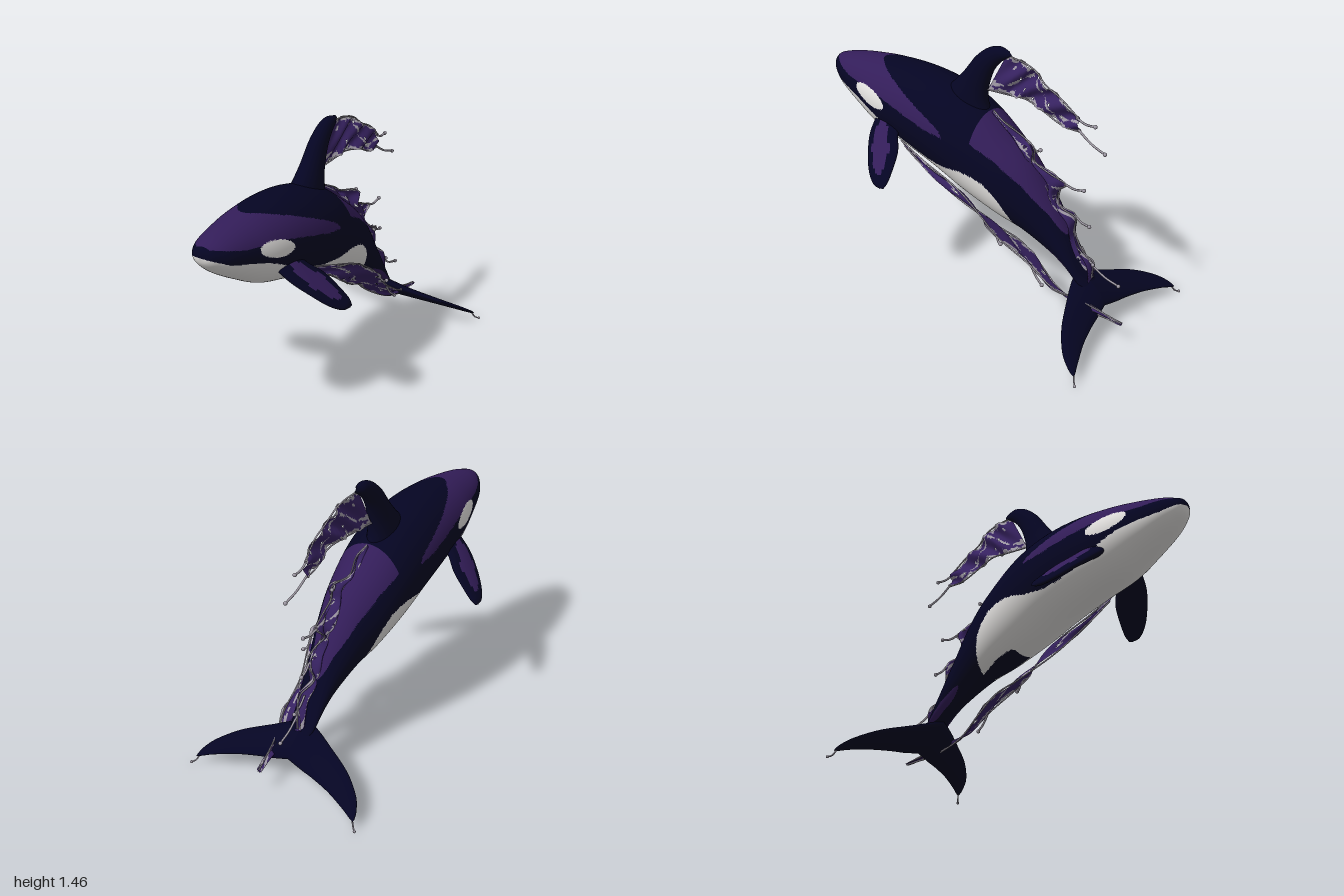
import * as THREE from 'three';

const V = (x, y, z) => new THREE.Vector3(x, y, z);
const mat = (name, color, side = THREE.FrontSide) => {
  const m = new THREE.MeshStandardMaterial({ color, side });
  m.name = name;
  return m;
};

// Piecewise-linear lookup in [[key, value], ...] with falling keys
function lookup(table, k) {
  if (k >= table[0][0]) return table[0][1];
  for (let i = 1; i < table.length; i++) {
    const [k0, v0] = table[i - 1], [k1, v1] = table[i];
    if (k >= k1) return v1 + (v0 - v1) * (k - k1) / (k0 - k1);
  }
  return table[table.length - 1][1];
}

// Grid surface; paint(p, u, v) picks the material index, or -1 for a hole
function gridMesh(name, nu, nv, closed, point, paint, materials) {
  const pos = [], cols = closed ? nv : nv + 1, buckets = materials.map(() => []);
  const centre = V(0, 0, 0), pts = [];
  for (let i = 0; i <= nu; i++) for (let j = 0; j < cols; j++) {
    const p = point(i / nu, j / nv);
    pts.push(p);
    centre.add(p);
    pos.push(p.x, p.y, p.z);
  }
  centre.divideScalar(pts.length);
  let volume = 0;
  const mid = V(0, 0, 0), a = V(0, 0, 0), b = V(0, 0, 0), c = V(0, 0, 0);
  for (let i = 0; i < nu; i++) for (let j = 0; j < nv; j++) {
    const j1 = closed ? (j + 1) % nv : j + 1;
    const q = [i * cols + j, (i + 1) * cols + j, (i + 1) * cols + j1, i * cols + j1];
    for (const t of [[q[0], q[1], q[2]], [q[0], q[2], q[3]]]) {
      a.copy(pts[t[0]]); b.copy(pts[t[1]]); c.copy(pts[t[2]]);
      mid.copy(a).add(b).add(c).divideScalar(3);
      volume += a.sub(centre).dot(b.sub(centre).cross(c.sub(centre)));
      const k = paint(mid, (i + 0.5) / nu, (j + 0.5) / nv);
      if (k >= 0) buckets[k].push(t);
    }
  }
  const g = new THREE.BufferGeometry(), index = [];
  buckets.forEach((list, k) => {
    g.addGroup(index.length, list.length * 3, k);
    for (const t of list) volume < 0 ? index.push(t[0], t[2], t[1]) : index.push(...t);
  });
  g.setAttribute('position', new THREE.Float32BufferAttribute(pos, 3));
  g.setIndex(index);
  g.computeVertexNormals();
  const mesh = new THREE.Mesh(g, materials);
  mesh.name = name;
  return mesh;
}

const curve = pts => new THREE.CatmullRomCurve3(pts.map(p => V(...p)), false, 'catmullrom', 0.5);

// Body stations: z, top, bottom, half width
const BODY = [
  [1, 1.095, 1.085, 0], [0.985, 1.125, 1.045, 0.05], [0.95, 1.14, 1.005, 0.085], [0.88, 1.16, 0.95, 0.125],
  [0.75, 1.183, 0.87, 0.165], [0.6, 1.2, 0.79, 0.2], [0.4, 1.205, 0.73, 0.222], [0.2, 1.18, 0.66, 0.232],
  [0, 1.11, 0.57, 0.225], [-0.2, 0.97, 0.495, 0.195], [-0.35, 0.84, 0.445, 0.15], [-0.5, 0.635, 0.37, 0.105],
  [-0.6, 0.475, 0.31, 0.085], [-0.7, 0.3, 0.235, 0.07], [-0.8, 0.18, 0.165, 0.03]];

// Colour borders on the body: z, y
const BELLY = [[1, 1.085], [0.9, 1.035], [0.7, 0.985], [0.6, 0.94], [0.5, 0.885], [0.4, 0.835], [0.3, 0.8], [0.2, 0.775],
  [0.1, 0.77], [0.05, 0.777], [-0.02, 0.785], [-0.1, 0.772], [-0.16, 0.748], [-0.22, 0.695],
  [-0.26, 0.64], [-0.29, 0.57], [-0.32, 0.45]];
const HEAD_LOW = [[0.96, 1.123], [0.8, 1.085], [0.6, 1.07], [0.4, 1.02], [0.2, 0.965], [0.1, 0.95]];
const HEAD_HIGH = [[0.66, 1.197], [0.6, 1.188], [0.55, 1.173], [0.45, 1.14], [0.33, 1.09], [0.2, 1.03], [0.12, 0.985], [0.09, 0.95]];
const SADDLE = [[-0.06, 0.95], [-0.2, 0.875], [-0.35, 0.765], [-0.5, 0.61], [-0.6, 0.48]];
const KEEL = [[-0.08, 0.06], [-0.1, 0.08], [-0.2, 0.08], [-0.32, 0.045]]; // z, half width of the dark underside
const STREAK = [[-0.47, 0.43], [-0.6, 0.345], [-0.69, 0.265]]; // tail streak

function paintBody({ x, y, z }) {
  const dz = z - 0.615, dy = y - 1.032 - dz * 0.22;
  if ((dz / 0.115) ** 2 + (dy / 0.046) ** 2 < 1) return 2;
  const keel = z < -0.08 && y < 0.62 && Math.abs(x) < lookup(KEEL, z);
  if (z > -0.32 && y < lookup(BELLY, z) && !keel) return 2;
  if (z > 0.09 && z < 0.97 && y > lookup(HEAD_LOW, z) && (z > 0.66 || y < lookup(HEAD_HIGH, z))) return 1;
  if (z < -0.065 && z > -0.6 && y > lookup(SADDLE, z)) return 1;
  return ((z + 0.58) / 0.11) ** 2 + ((y - lookup(STREAK, z)) / 0.02) ** 2 < 1 ? 1 : 0;
}

// Lens-shaped fin lofted between a leading and a trailing edge
function fin(name, lead, trail, thick, normal, side, paint, materials) {
  const L = curve(lead), T = curve(trail), n = V(...normal).normalize();
  return gridMesh(name, 44, 32, true, (u, v) => {
    const a = v * Math.PI * 2, l = L.getPoint(u), t = T.getPoint(u);
    const f = u * (thick.length - 1), i = Math.min(Math.floor(f), thick.length - 2);
    const h = thick[i] + (thick[i + 1] - thick[i]) * (f - i);
    const p = t.lerp(l, 0.5 + 0.5 * Math.cos(a)).addScaledVector(n, h * Math.sin(a));
    p.x *= side;
    return p;
  }, paint, materials);
}

// Torn sheet of water between two edges, with pale rims, streaks and holes
function splash(name, edgeA, edgeB, tear, ruffle, seed, materials) {
  const A = curve(edgeA), B = curve(edgeB);
  const wave = (u, k) => Math.sin(u * 37 * k + seed) * 0.6 + Math.sin(u * 83 * k + seed * 2.3) * 0.4;
  const group = new THREE.Group();
  group.name = name;
  group.add(gridMesh(name + 'Sheet', 160, 20, false, (u, v) => {
    const w = v + (v - 0.5) * tear * wave(u, v < 0.5 ? 1 : 1.3);
    const p = A.getPoint(u).lerp(B.getPoint(u), w);
    p.x += ruffle * Math.sin(u * 22 + v * 7 + seed) * Math.min(1, u * 6);
    return p;
  }, (p, u, v) => {
    const hole = Math.sin(u * 29 + seed) * Math.sin(v * 8 + u * 13 + seed);
    if (hole > 0.975 && u > 0.15) return -1;
    const streak = Math.abs(v - 0.5 - 0.3 * Math.sin(u * 9 + seed)) < 0.035 + 0.03 * Math.sin(u * 41);
    const rim = 0.08 + 0.05 * wave(u, 1.7);
    return v < rim || v > 1 - rim || streak || hole > 0.91 ? 1 : 0;
  }, materials));
  for (const c of [A, B]) {
    const rim = new THREE.Mesh(new THREE.TubeGeometry(c, 70, 0.0045, 6), materials[1]);
    rim.name = name + 'Rim';
    group.add(rim);
  }
  return group;
}

// Thin strand of water ending in a drop
function strand(from, to, r, material) {
  const a = V(...from), b = V(...to), m = a.clone().lerp(b, 0.5);
  m.y -= 0.012;
  const group = new THREE.Group();
  group.name = 'waterStrand';
  const tube = new THREE.Mesh(new THREE.TubeGeometry(new THREE.CatmullRomCurve3([a, m, b]), 12, r * 0.55, 6), material);
  tube.name = 'strand';
  const drop = new THREE.Mesh(new THREE.SphereGeometry(r, 10, 8), material);
  drop.name = 'drop';
  drop.position.copy(b);
  group.add(tube, drop);
  return group;
}

export function createModel() {
  const model = new THREE.Group();
  model.name = 'leapingOrca';
  const navy = mat('navy', 0x050523), purple = mat('purple', 0x331d59), white = mat('white', 0xe6e4e2);
  const water = mat('waterPurple', 0x382363, THREE.DoubleSide), foam = mat('foamGrey', 0xa09aa6, THREE.DoubleSide);

  // Body
  const spine = curve(BODY.map(r => [r[0], r[1], r[2]]));
  const girth = curve(BODY.map(r => [r[0], r[3], 0]));
  model.add(gridMesh('body', 320, 150, true, (u, v) => {
    const s = spine.getPoint(u), w = Math.max(0, girth.getPoint(u).y), a = v * Math.PI * 2;
    return V(w * Math.sin(a), (s.y + s.z) / 2 + (s.y - s.z) / 2 * Math.cos(a), s.x);
  }, paintBody, [navy, purple, white]));

  // Dorsal fin
  model.add(fin('dorsalFin',
    [[0, 1.08, 0.3], [0, 1.165, 0.19], [0, 1.25, 0.11], [0, 1.31, 0.065], [0, 1.37, 0.02], [0, 1.43, -0.05], [0, 1.456, -0.12], [0, 1.445, -0.19]],
    [[0, 1.0, -0.08], [0, 1.1, -0.048], [0, 1.17, -0.045], [0, 1.24, -0.06], [0, 1.31, -0.088], [0, 1.365, -0.128], [0, 1.4, -0.17], [0, 1.425, -0.208]],
    [0.09, 0.075, 0.062, 0.055, 0.048, 0.04, 0.03, 0.004], [1, 0, 0], 1, () => 0, [navy]));

  for (const s of [1, -1]) {
    const tag = s > 0 ? 'left' : 'right';
    // Flippers, with a purple panel on the upper face
    model.add(fin(tag + 'Flipper',
      [[0.14, 0.92, 0.6], [0.242, 0.838, 0.575], [0.322, 0.768, 0.525], [0.388, 0.703, 0.465], [0.43, 0.662, 0.4], [0.44, 0.654, 0.345]],
      [[0.13, 0.94, 0.44], [0.21, 0.873, 0.4], [0.28, 0.813, 0.345], [0.353, 0.745, 0.322], [0.41, 0.69, 0.313], [0.438, 0.66, 0.322]],
      [0.035, 0.03, 0.025, 0.021, 0.016, 0.004], [0.73, 0.67, -0.15], s,
      (p, u, v) => {
        const c = 0.5 + 0.5 * Math.cos(v * Math.PI * 2);
        return v < 0.5 && ((u - 0.37) / 0.32) ** 2 + ((c - 0.54) / 0.28) ** 2 < 1 ? 1 : 0;
      }, [navy, purple]));
    // Tail flukes
    model.add(fin(tag + 'Fluke',
      [[0, 0.285, -0.64], [0.09, 0.255, -0.668], [0.18, 0.223, -0.705], [0.34, 0.17, -0.78], [0.45, 0.115, -0.86], [0.497, 0.075, -0.925], [0.508, 0.05, -0.962]],
      [[0, 0.14, -0.83], [0.1, 0.12, -0.847], [0.18, 0.11, -0.862], [0.3, 0.092, -0.893], [0.42, 0.068, -0.938], [0.48, 0.05, -0.962], [0.508, 0.044, -0.972]],
      [0.035, 0.03, 0.024, 0.017, 0.012, 0.008, 0.003], [0, 0.75, -0.66], s, () => 0, [navy]));
    model.add(strand([s * 0.495, 0.05, -0.96], [s * 0.53, 0.009, -0.992], 0.008, foam));
  }

  // Water trailing from the dorsal fin
  model.add(splash('dorsalSplash',
    [[0, 1.42, -0.17], [0.005, 1.41, -0.28], [0.01, 1.385, -0.36], [0.02, 1.33, -0.43], [0.02, 1.285, -0.52], [0.01, 1.2, -0.625]],
    [[0, 1.19, -0.05], [0, 1.2, -0.2], [0, 1.205, -0.3], [0.02, 1.185, -0.41], [0.01, 1.13, -0.53], [0, 1.12, -0.63]],
    0.06, 0.014, 1, [water, foam]));

  // Ragged water along the back
  model.add(splash('backSplash',
    [[0, 1.05, -0.07], [0, 0.96, -0.2], [0, 0.87, -0.31], [0, 0.78, -0.39], [0, 0.69, -0.46], [0, 0.58, -0.53], [0, 0.46, -0.6], [0, 0.34, -0.67], [0, 0.24, -0.73]],
    [[0, 1.08, -0.09], [0.015, 1.04, -0.17], [-0.01, 0.98, -0.27], [0.025, 0.955, -0.37], [0.03, 0.88, -0.38], [0.02, 0.83, -0.475], [0, 0.79, -0.56],
      [-0.02, 0.73, -0.51], [0.025, 0.665, -0.54], [0.01, 0.62, -0.63], [-0.02, 0.52, -0.61], [0.02, 0.45, -0.68], [0, 0.37, -0.74], [0, 0.28, -0.74]],
    0.1, 0.022, 2, [water, foam]));

  // Curtain of water along the left flank, from flipper to tail
  model.add(splash('flankSplash',
    [[0.21, 0.84, 0.38], [0.235, 0.78, 0.2], [0.245, 0.7, -0.02], [0.255, 0.6, -0.18], [0.245, 0.49, -0.3], [0.195, 0.37, -0.45], [0.18, 0.26, -0.62], [0.12, 0.2, -0.78], [0.075, 0.13, -0.98]],
    [[0.205, 0.81, 0.36], [0.215, 0.72, 0.2], [0.18, 0.585, 0], [0.11, 0.46, -0.2], [0.075, 0.395, -0.33], [0.07, 0.3, -0.45], [0.1, 0.21, -0.6], [0.1, 0.15, -0.78], [0.07, 0.12, -0.98]],
    0.12, 0.014, 4, [water, foam]));

  // Flying strands and drops
  for (const [a, b] of [
    [[0.01, 1.2, -0.61], [0, 1.175, -0.72]], [[0, 1.13, -0.62], [0.01, 1.045, -0.79]],
    [[0, 0.79, -0.55], [0, 0.79, -0.67]], [[0, 0.625, -0.62], [-0.01, 0.58, -0.705]], [[0, 0.45, -0.67], [0.01, 0.37, -0.75]],
    [[0, 0.36, -0.74], [-0.01, 0.285, -0.9]], [[0.02, 0.95, -0.36], [0.01, 0.945, -0.4]],
    [[0.245, 0.5, -0.29], [0.262, 0.47, -0.33]], [[0.18, 0.35, -0.47], [0.19, 0.26, -0.55]]]) model.add(strand(a, b, 0.011, foam));

  return model;
}
